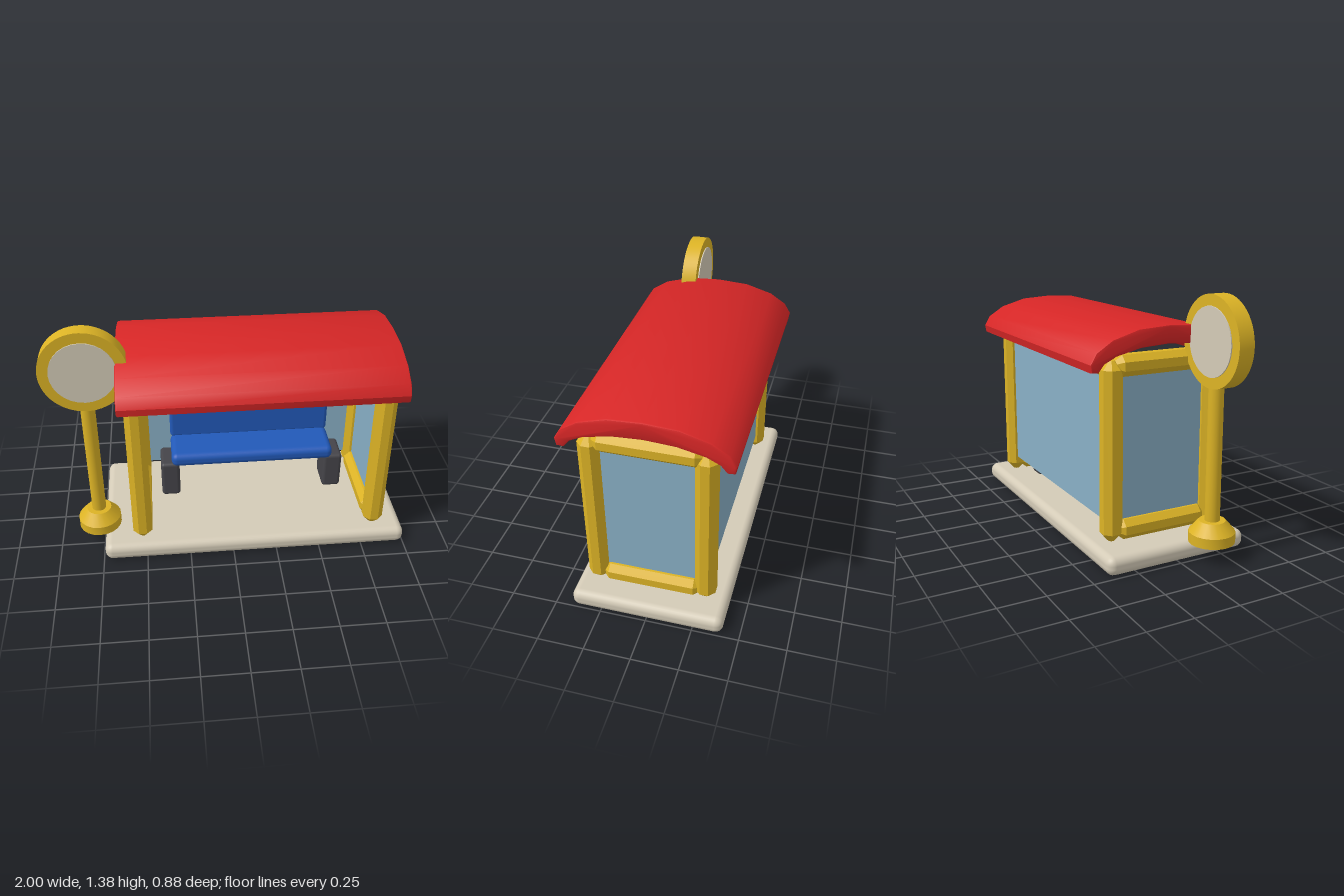
import * as THREE from 'three';
import { RoundedBoxGeometry } from 'three/addons/geometries/RoundedBoxGeometry.js';
import { toCreasedNormals } from 'three/addons/utils/BufferGeometryUtils.js';

const material = (name, color, options = {}) => {
  const m = new THREE.MeshStandardMaterial({ color, ...options });
  m.name = name;
  return m;
};

export function createModel() {
  const red = material('roof red', 0xd62626);
  const yellow = material('frame yellow', 0xdcb325);
  const beige = material('stone beige', 0xd4cbb7);
  const blue = material('bench blue', 0x2259b8);
  const glass = material('glass blue', 0x89b0c6);
  const dark = material('leg grey', 0x454449);

  const model = new THREE.Group();
  model.name = 'busShelter';

  const add = (name, geometry, mat, x = 0, y = 0, z = 0) => {
    const mesh = new THREE.Mesh(geometry, mat);
    mesh.name = name;
    mesh.position.set(x, y, z);
    model.add(mesh);
    return mesh;
  };
  // Rounded box given by its limits on each axis
  const block = (name, mat, [x0, x1], [y0, y1], [z0, z1], radius) =>
    add(name, new RoundedBoxGeometry(x1 - x0, y1 - y0, z1 - z0, 3, radius), mat,
      (x0 + x1) / 2, (y0 + y1) / 2, (z0 + z1) / 2);
  const turned = (points, sides, crease) => toCreasedNormals(
    new THREE.LatheGeometry(points.map(p => new THREE.Vector2(...p)), sides), crease);

  // Eight-sided bar with tapered ends, flat sides facing the axes
  const bar = (name, length, x, y, z) => {
    const r = 0.055 / Math.cos(Math.PI / 8), h = length / 2;
    const g = turned([[0, -h], [0.02, -h], [r, -h + 0.045], [r, h - 0.045], [0.02, h], [0, h]], 8, 0.5);
    g.rotateY(Math.PI / 8);
    return add(name, g, yellow, x, y, z);
  };

  // Ground slab
  block('groundSlab', beige, [-0.74, 1], [0, 0.1], [-0.41, 0.41], 0.042);

  // Frame: four posts, side rails and back rail
  const left = 0.825, right = -0.52, front = 0.3, back = -0.285;
  for (const x of [right, left]) {
    for (const z of [front, back]) bar('post', 0.95, x, 0.575, z);
    bar('lowerSideRail', 0.55, x, 0.155, 0.005).rotation.x = Math.PI / 2;
    bar('upperSideRail', 0.57, x, 1.02, 0.005).rotation.x = Math.PI / 2;
    add('sideGlass', new THREE.BoxGeometry(0.02, 0.82, 0.52), glass, x, 0.585, 0.007);
  }
  bar('upperBackRail', 1.33, (left + right) / 2, 1.02, back).rotation.z = Math.PI / 2;
  add('backGlass', new THREE.BoxGeometry(1.3, 0.81, 0.02), glass, (left + right) / 2, 0.595, back);

  // Arched roof, swept along x
  const outer = [[0.43, 1.05], [0.4, 1.1], [0.315, 1.155], [0.17, 1.197], [0, 1.207]];
  const inner = [[0, 1.132], [0.16, 1.122], [0.3, 1.09], [0.37, 1.055], [0.4, 1.018], [0.425, 1.02]];
  const mirrored = list => list.map(([z, y]) => [-z, y]).reverse();
  const outline = [...outer, ...mirrored(outer).slice(1), ...mirrored(inner), ...inner.slice(1)];
  const roof = new THREE.ExtrudeGeometry(
    new THREE.Shape(outline.map(p => new THREE.Vector2(...p))),
    { depth: 1.495, bevelEnabled: true, bevelSize: 0.01, bevelThickness: 0.01, bevelSegments: 2 });
  roof.rotateY(Math.PI / 2);
  add('roof', toCreasedNormals(roof, 0.6), red, -0.595, 0, 0);

  // Bench
  block('benchSeat', blue, [-0.335, 0.635], [0.33, 0.415], [-0.26, 0.0], 0.035);
  block('benchBack', blue, [-0.335, 0.635], [0.4, 0.695], [-0.274, -0.22], 0.022);
  for (const x of [-0.345, 0.648])
    block('benchLeg', dark, [x - 0.056, x + 0.056], [0.1, 0.335], [-0.22, -0.03], 0.02);

  // Stop sign post with a chamfered foot
  const sx = -0.77, sz = 0.172;
  add('signFoot', turned([[0, 0.1], [0.122, 0.1], [0.122, 0.155], [0.07, 0.215], [0, 0.215]], 20, 0.6),
    yellow, sx, 0, sz);
  add('signPole', new THREE.CylinderGeometry(0.04, 0.04, 0.76, 16), yellow, sx, 0.575, sz);

  // Round sign: thick ring holding a slightly deeper disc
  const ringShape = new THREE.Shape().absarc(0, 0, 0.233, 0, Math.PI * 2);
  ringShape.holes.push(new THREE.Path().absarc(0, 0, 0.174, 0, Math.PI * 2, true));
  const ring = new THREE.ExtrudeGeometry(ringShape, { depth: 0.086, bevelEnabled: false, curveSegments: 28 });
  add('signRing', toCreasedNormals(ring, 0.6), yellow, sx, 1.145, sz - 0.043);
  const disc = new THREE.CylinderGeometry(0.176, 0.176, 0.098, 28);
  disc.rotateX(Math.PI / 2);
  add('signDisc', disc, beige, sx, 1.145, sz);

  return model;
}
